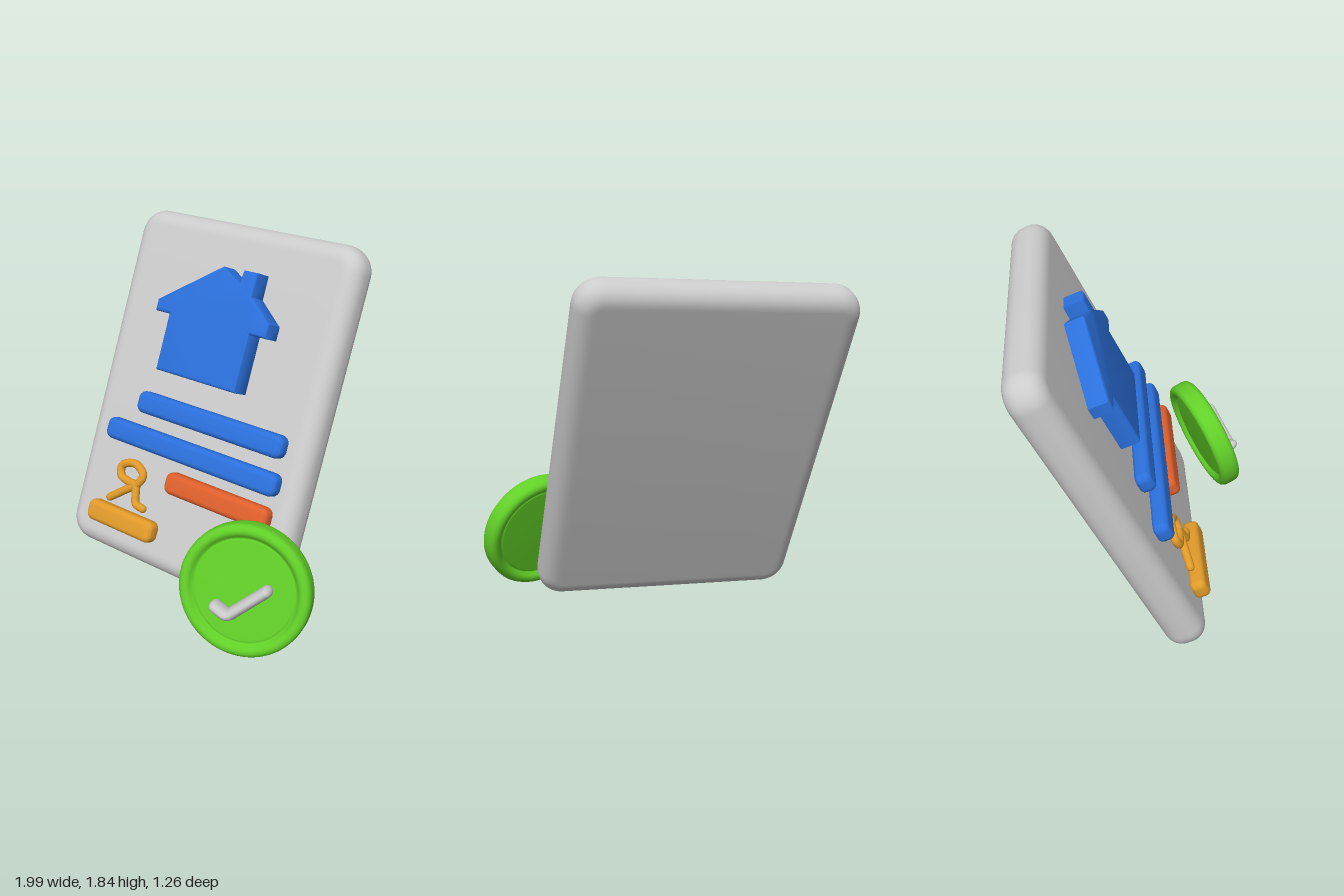
import * as THREE from 'three';
import { toCreasedNormals } from 'three/addons/utils/BufferGeometryUtils.js';

const material = (color) => new THREE.MeshStandardMaterial({ color });
const GREY = material(0xcccccc);
const BLUE = material(0x2b70dc);
const ORANGE = material(0xe0602c);
const GOLD = material(0xe09a2a);
const GREEN = material(0x62d028);

function addMesh(parent, name, geometry, mat) {
  const mesh = new THREE.Mesh(geometry, mat);
  mesh.name = name;
  parent.add(mesh);
  return mesh;
}

function roundedRect(w, h, r) {
  const s = new THREE.Shape();
  s.absarc(w - r, h - r, r, 0, Math.PI / 2);
  s.absarc(-w + r, h - r, r, Math.PI / 2, Math.PI);
  s.absarc(-w + r, -h + r, r, Math.PI, Math.PI * 1.5);
  s.absarc(w - r, -h + r, r, Math.PI * 1.5, Math.PI * 2);
  s.closePath();
  return s;
}

// Extrusion centred on z = 0 with a rounded edge that stays inside the outline
function softExtrude(shape, halfDepth, edge, segments) {
  const depth = 2 * (halfDepth - edge);
  const g = new THREE.ExtrudeGeometry(shape, {
    depth, bevelEnabled: true, bevelSize: edge, bevelThickness: edge,
    bevelOffset: -edge, bevelSegments: segments, curveSegments: 8,
  });
  g.translate(0, 0, -depth / 2);
  return toCreasedNormals(g, 0.7);
}

// Slab with rounded corners, given by half sizes
function slab(w, h, d, corner, edge) {
  return softExtrude(roundedRect(w, h, corner), d, edge, 8);
}

// Tube along a path with round ends
function roundTube(parent, name, curve, radius, mat, segments) {
  const g = new THREE.Group();
  g.name = name;
  addMesh(g, name + 'Stroke', new THREE.TubeGeometry(curve, segments, radius, 14), mat);
  for (const t of [0, 1]) {
    addMesh(g, name + 'End', new THREE.SphereGeometry(radius, 14, 10), mat)
      .position.copy(curve.getPoint(t));
  }
  parent.add(g);
  return g;
}

function createDocument() {
  const doc = new THREE.Group();
  doc.name = 'document';
  addMesh(doc, 'page', slab(0.74, 0.974, 0.105, 0.14, 0.09), GREY);

  // Text bars: name, x, y, half length, material
  const bars = [
    ['upperBar', 0.12, -0.092, 0.495, BLUE],
    ['middleBar', 0.042, -0.286, 0.593, BLUE],
    ['shortBar', 0.288, -0.465, 0.343, ORANGE],
    ['signatureBar', -0.306, -0.767, 0.243, GOLD],
  ];
  for (const [name, x, y, half, mat] of bars) {
    addMesh(doc, name, slab(half, 0.061, 0.045, 0.042, 0.032), mat).position.set(x, y, 0.143);
  }

  // House with eaves and chimney
  const outline = [
    [-0.275, 0.105], [0.275, 0.105], [0.275, 0.415], [0.38, 0.415], [0.38, 0.49],
    [0.235, 0.603], [0.235, 0.73], [0.145, 0.73], [0.135, 0.663], [0.01, 0.727],
    [-0.375, 0.48], [-0.375, 0.415], [-0.275, 0.415],
  ].map(([x, y]) => new THREE.Vector2(x, y));
  addMesh(doc, 'house', softExtrude(new THREE.Shape(outline), 0.06, 0.018, 4), BLUE)
    .position.z = 0.155;

  // Looped signature
  const signature = new THREE.CatmullRomCurve3([
    [-0.44, -0.672], [-0.35, -0.606], [-0.262, -0.538], [-0.244, -0.485], [-0.315, -0.442],
    [-0.405, -0.476], [-0.395, -0.532], [-0.33, -0.55], [-0.278, -0.555],
    [-0.264, -0.6], [-0.246, -0.652], [-0.19, -0.665],
  ].map(([x, y]) => new THREE.Vector3(x, y, 0.135)));
  roundTube(doc, 'signature', signature, 0.023, GOLD, 120);

  // Lean, turn and roll of the page
  const u = new THREE.Vector3(0.9665, 0.0416, -0.253).normalize();
  const n = u.clone().cross(new THREE.Vector3(-0.153, 0.902, -0.403)).normalize();
  const v = n.clone().cross(u);
  doc.quaternion.setFromRotationMatrix(new THREE.Matrix4().makeBasis(u, v, n));
  doc.position.set(-0.153, 0.919, -0.026);
  return doc;
}

function createBadge() {
  const badge = new THREE.Group();
  badge.name = 'badge';

  // Coin with a raised rim on both faces
  const half = [
    [0, 0.04], [0.255, 0.04], [0.262, 0.034], [0.27, 0.034], [0.279, 0.048], [0.29, 0.058],
    [0.303, 0.062], [0.318, 0.06], [0.331, 0.051], [0.338, 0.038], [0.34, 0.02],
  ];
  const profile = [
    ...half.map(([r, y]) => new THREE.Vector2(r, -y)),
    ...half.slice().reverse().map(([r, y]) => new THREE.Vector2(r, y)),
  ];
  addMesh(badge, 'coin', new THREE.LatheGeometry(profile, 72).rotateX(Math.PI / 2), GREEN);

  // Check mark
  const a = new THREE.Vector3(-0.12, -0.082, 0);
  const b = new THREE.Vector3(-0.053, -0.118, 0);
  const c = new THREE.Vector3(0.129, 0.042, 0);
  const path = new THREE.CurvePath();
  const before = b.clone().lerp(a, 0.3);
  const after = b.clone().lerp(c, 0.12);
  path.add(new THREE.LineCurve3(a, before));
  path.add(new THREE.QuadraticBezierCurve3(before, b, after));
  path.add(new THREE.LineCurve3(after, c));
  const check = roundTube(badge, 'checkMark', path, 0.03, GREY, 60);
  check.position.z = 0.095;
  check.scale.z = 1.8;

  badge.position.set(0.69, 0.355, 0.374);
  badge.lookAt(0.69 + 0.55, 0.355 + 0.3, 0.374 + 0.78);
  return badge;
}

export function createModel() {
  const model = new THREE.Group();
  model.name = 'approvedHouseDocument';
  model.add(createDocument(), createBadge());
  return model;
}
